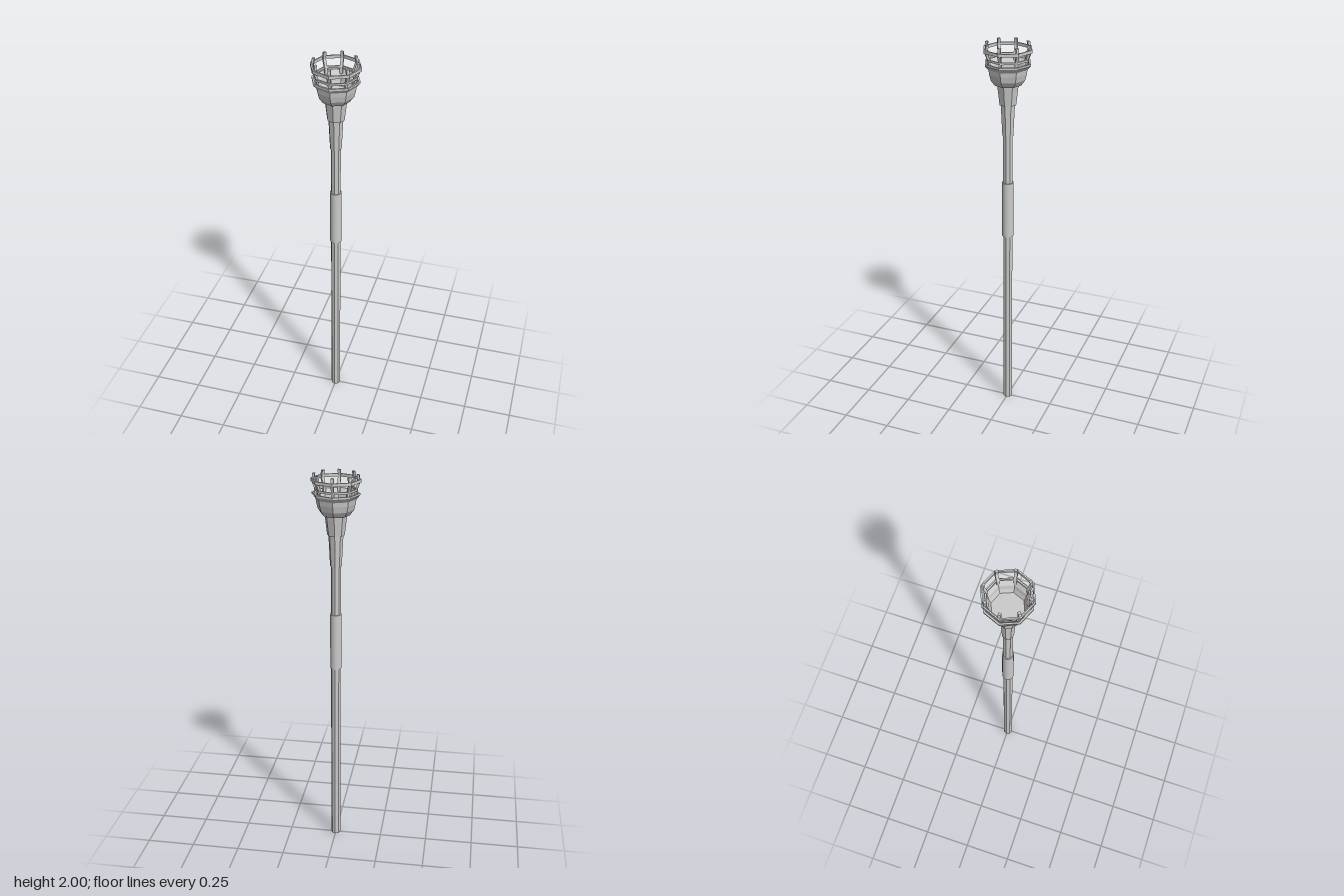
import * as THREE from 'three';

const SIDES = 8;

export function createModel() {
  const torch = new THREE.Group();
  torch.name = 'torch';
  const faceted = new THREE.MeshStandardMaterial({ color: 0xcccccc, flatShading: true });
  const smooth = new THREE.MeshStandardMaterial({ color: 0xcccccc });

  const add = (name, geometry, material = faceted) => {
    const mesh = new THREE.Mesh(geometry, material);
    mesh.name = name;
    torch.add(mesh);
    return mesh;
  };
  // Octagonal turning; profile is [radius, height], running up the outside
  const turned = (name, profile) =>
    add(name, new THREE.LatheGeometry(profile.map(([r, y]) => new THREE.Vector2(r, y)), SIDES));
  // Octagonal hoop of rectangular section
  const hoop = (name, inner, outer, y0, y1) =>
    turned(name, [[inner, y0], [outer, y0], [outer, y1], [inner, y1], [inner, y0]]);

  // Pole and round grip
  turned('pole', [[0, 0], [0.025, 0], [0.025, 1.6], [0, 1.6]]);
  const grip = add('grip', new THREE.CylinderGeometry(0.029, 0.029, 0.295, 24), smooth);
  grip.position.y = 1.147;

  // Two flared collars below the bowl
  turned('lowerCollar', [[0, 1.545], [0.029, 1.545], [0.037, 1.705], [0, 1.705]]);
  turned('upperCollar', [[0, 1.703], [0.043, 1.703], [0.056, 1.81], [0, 1.81]]);

  // Hollow bowl with a flared rim
  turned('bowl', [
    [0, 1.803], [0.068, 1.803], [0.088, 1.83], [0.096, 1.86], [0.099, 1.882],
    [0.117, 1.902], [0.117, 1.911], [0.108, 1.911], [0.09, 1.885],
    [0.086, 1.86], [0.077, 1.838], [0, 1.838],
  ]);

  // Fire basket: two hoops carried by eight bent bars
  hoop('lowerHoop', 0.097, 0.105, 1.922, 1.932);
  hoop('upperHoop', 0.115, 0.123, 1.963, 1.978);

  const bar = new THREE.Shape([
    [0.09, 1.895], [0.1, 1.895], [0.102, 1.925], [0.117, 1.963],
    [0.112, 2.0], [0.1, 2.0], [0.106, 1.965], [0.092, 1.928],
  ].map(([x, y]) => new THREE.Vector2(x, y)));
  const width = 0.014;
  const barGeometry = new THREE.ExtrudeGeometry(bar, { depth: width, bevelEnabled: false });
  barGeometry.translate(0, 0, -width / 2);
  for (let i = 0; i < SIDES; i++) {
    add('basketBar', barGeometry).rotation.y = (i / SIDES) * Math.PI * 2;
  }
  return torch;
}
